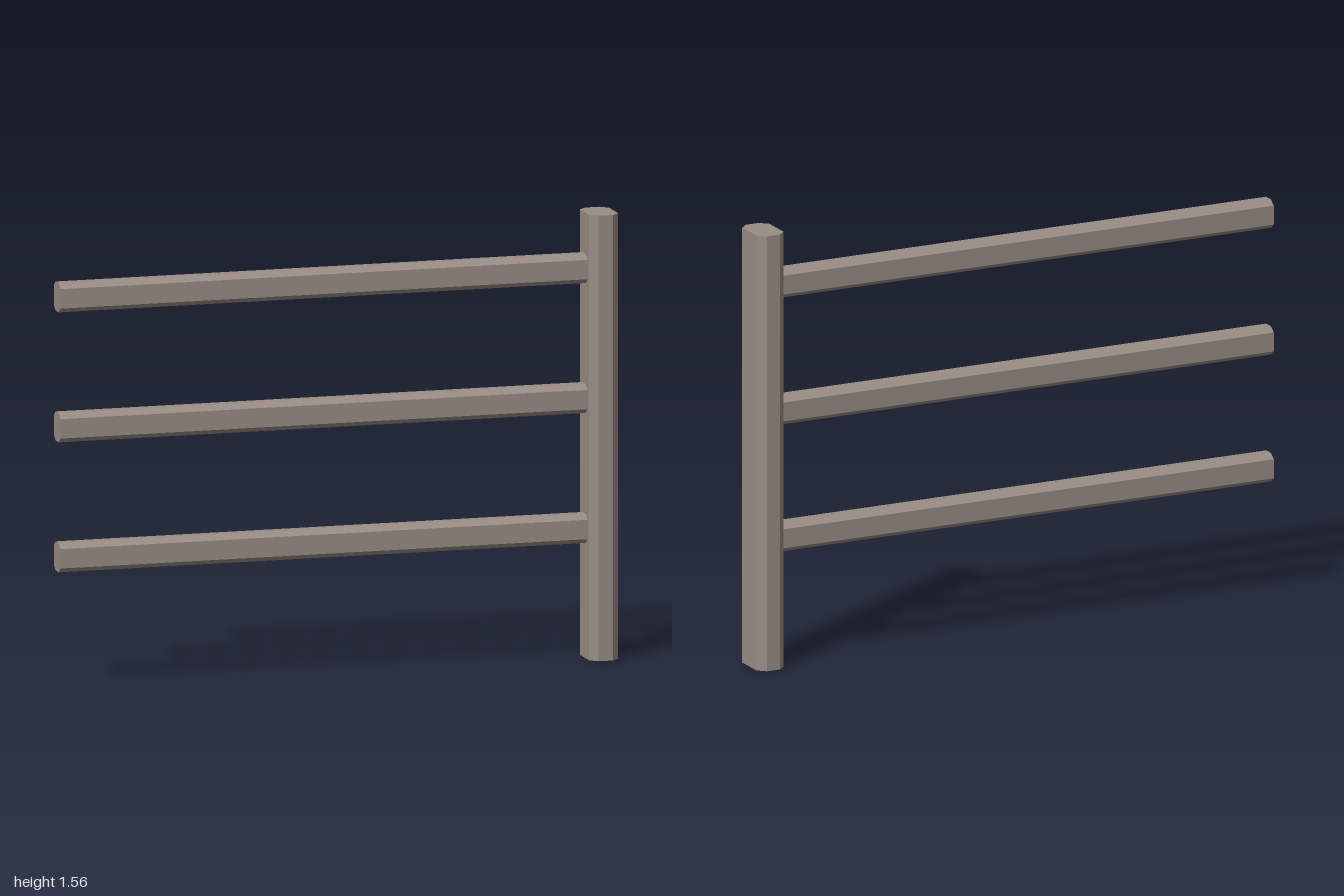
import * as THREE from 'three';

// Straight beam with an eight-sided (chamfered rectangle) section, along +z
function beam(w, h, cw, ch, length) {
  const a = w / 2, b = h / 2;
  const section = new THREE.Shape([
    [a, -b + ch], [a, b - ch], [a - cw, b], [-a + cw, b],
    [-a, b - ch], [-a, -b + ch], [-a + cw, -b], [a - cw, -b],
  ].map(([x, y]) => new THREE.Vector2(x, y)));
  return new THREE.ExtrudeGeometry(section, { depth: length, bevelEnabled: false });
}

export function createModel() {
  const group = new THREE.Group();
  group.name = 'fenceSection';
  const wood = new THREE.MeshStandardMaterial({ color: 0x998d85, flatShading: true });
  wood.name = 'weatheredWood';

  // Upright post at the left end
  const post = new THREE.Mesh(beam(0.105, 0.16, 0.027, 0.026, 1.56).rotateX(-Math.PI / 2), wood);
  post.name = 'post';
  post.position.x = 0.9475;
  group.add(post);

  // Three horizontal rails, butting into the post
  const railGeometry = beam(0.08, 0.102, 0.022, 0.017, 1.895).rotateY(Math.PI / 2);
  [0.455, 0.91, 1.365].forEach((y, i) => {
    const rail = new THREE.Mesh(railGeometry, wood);
    rail.name = `rail${i + 1}`;
    rail.position.set(-1, y, -0.004);
    group.add(rail);
  });

  return group;
}
